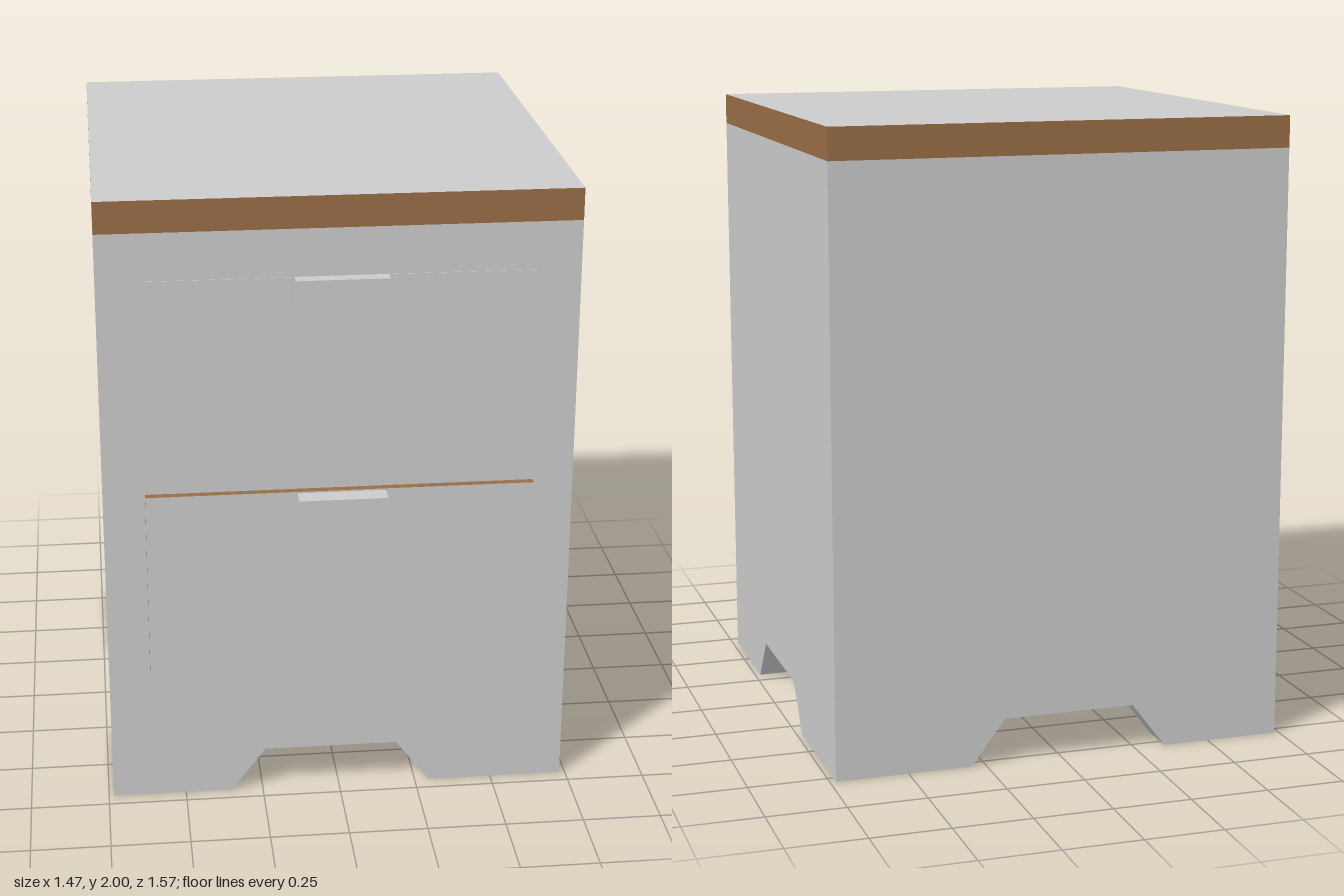
import * as THREE from 'three';

const grey = new THREE.MeshStandardMaterial({ color: 0xcccccc, flatShading: true });
const brown = new THREE.MeshStandardMaterial({ color: 0x996d46, flatShading: true });

// Outer limits of the cabinet
const X0 = -0.735, X1 = 0.732, Z0 = -0.785, Z1 = 0.70;
const SKIRT = 0.29, WALL = 0.13, ARCH = 0.145;

export function createModel() {
  const model = new THREE.Group();
  model.name = 'bedsideCabinet';

  // Box given by its limits on each axis
  function block(name, [x0, x1], [y0, y1], [z0, z1], material = grey) {
    const mesh = new THREE.Mesh(new THREE.BoxGeometry(x1 - x0, y1 - y0, z1 - z0), material);
    mesh.position.set((x0 + x1) / 2, (y0 + y1) / 2, (z0 + z1) / 2);
    mesh.name = name;
    model.add(mesh);
    return mesh;
  }

  // Skirt board with a tapered cut-out that leaves a foot at each end
  function skirt(name, a, b, [c0, c1], [d0, d1]) {
    const shape = new THREE.Shape([
      [a, 0], [c0, 0], [d0, ARCH], [d1, ARCH], [c1, 0], [b, 0], [b, SKIRT], [a, SKIRT],
    ].map(([x, y]) => new THREE.Vector2(x, y)));
    const mesh = new THREE.Mesh(
      new THREE.ExtrudeGeometry(shape, { depth: WALL, bevelEnabled: false }), grey);
    mesh.name = name;
    model.add(mesh);
    return mesh;
  }

  // Body above the hollow base
  block('body', [X0, X1], [SKIRT, 1.9], [Z0, Z1]);

  // Front and back skirts span the width, side skirts fit between them
  skirt('frontSkirt', X0, X1, [-0.35, 0.295], [-0.24, 0.187]).position.z = Z1 - WALL;
  skirt('backSkirt', X0, X1, [-0.35, 0.295], [-0.24, 0.187]).position.z = Z0;
  for (const [name, x] of [['rightSkirt', X0], ['leftSkirt', X1 - WALL]]) {
    const side = skirt(name, -Z1 + WALL, -Z0 - WALL, [-0.31, 0.33], [-0.205, 0.22]);
    side.rotation.y = Math.PI / 2; // shape x runs toward -z
    side.position.x = x;
  }

  // Top board: wooden edges, grey surface
  block('topBoard', [X0, X1], [1.9, 2], [Z0, Z1], [brown, brown, grey, grey, brown, brown]);

  // Drawers: upper one nearly flush, lower one standing proud
  block('upperDrawer', [-0.61, 0.61], [1.215, 1.75], [Z1 - 0.01, Z1 + 0.002]);
  block('lowerDrawer', [-0.605, 0.605], [0.43, 1.06], [Z1 - 0.01, 0.725],
    [brown, brown, brown, brown, grey, grey]);

  // Handles
  block('upperHandle', [-0.14, 0.145], [1.675, 1.75], [Z1, 0.742]);
  block('lowerHandle', [-0.135, 0.14], [0.965, 1.055], [0.72, 0.787]);

  return model;
}
